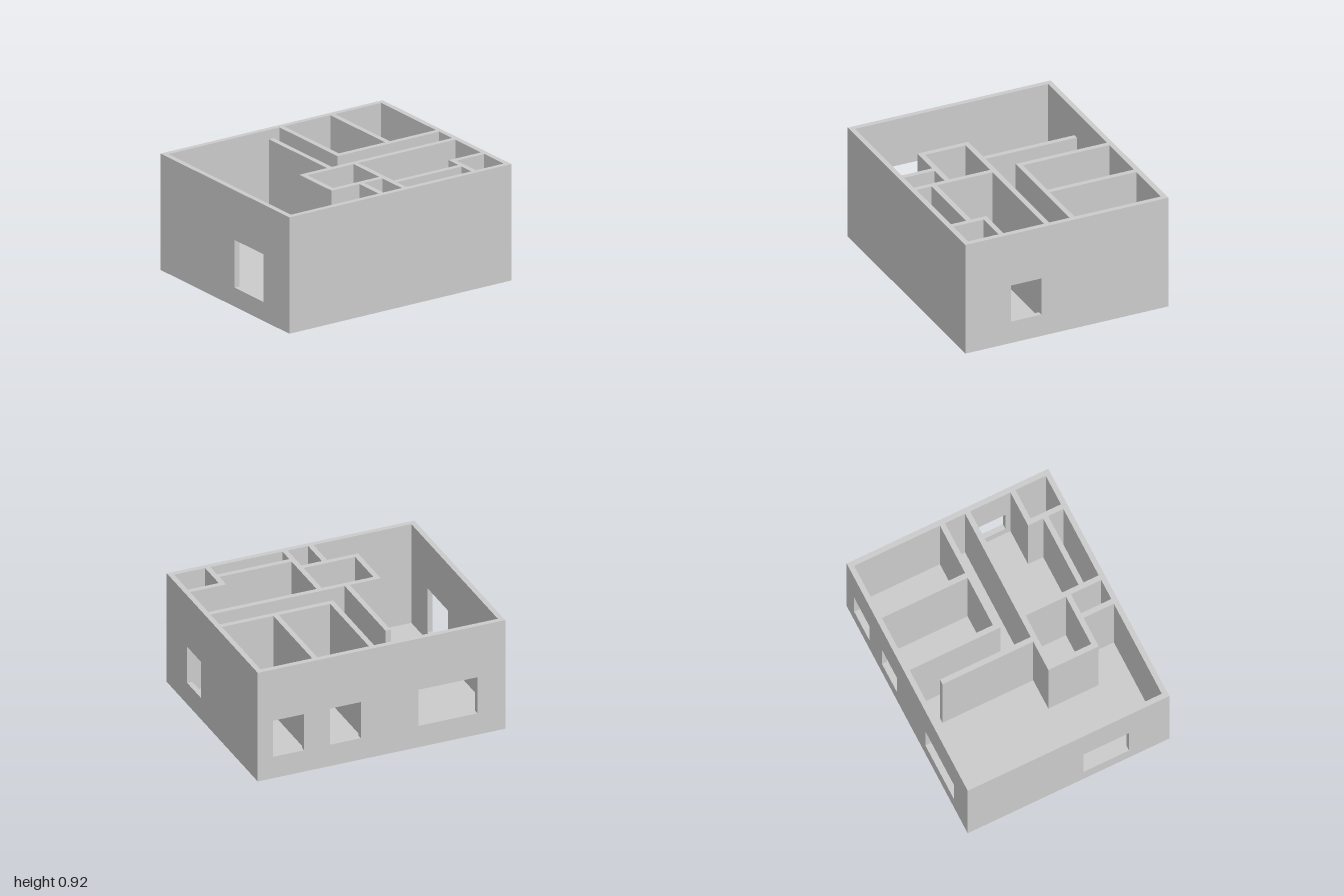
import * as THREE from 'three';

const U = 1 / 24; // plan module: one wall thickness
const HALF_W = 24, HALF_D = 20; // outer half sizes in modules
const HEIGHT = 22 * U;
const FLOOR = 2 * U;

const material = new THREE.MeshStandardMaterial({ color: 0xcccccc, flatShading: true });

function add(group, name, geometry) {
  const mesh = new THREE.Mesh(geometry, material);
  mesh.name = name;
  group.add(mesh);
  return mesh;
}

// Upright panel one module thick, with rectangular openings [u0, u1, y0, y1]
function panel(halfLength, openings) {
  const rect = (path, a, b, c, d) =>
    path.moveTo(a, c).lineTo(b, c).lineTo(b, d).lineTo(a, d).closePath();
  const shape = new THREE.Shape();
  rect(shape, -halfLength, halfLength, 0, HEIGHT);
  for (const o of openings) {
    const hole = new THREE.Path();
    rect(hole, ...o);
    shape.holes.push(hole);
  }
  return new THREE.ExtrudeGeometry(shape, { depth: U, bevelEnabled: false });
}

// Box over a plan rectangle given in modules
function block(x0, x1, z0, z1, y0, y1) {
  const g = new THREE.BoxGeometry((x1 - x0) * U, y1 - y0, (z1 - z0) * U);
  g.translate((x0 + x1) / 2 * U, (y0 + y1) / 2, (z0 + z1) / 2 * U);
  return g;
}

export function createModel() {
  const house = new THREE.Group();
  house.name = 'house';

  // Floor slab, inside the outer walls
  add(house, 'floor', block(1 - HALF_W, HALF_W - 1, 1 - HALF_D, HALF_D - 1, 0, FLOOR));

  // Front and back walls; the back has three windows
  const front = add(house, 'frontWall', panel(HALF_W * U, []));
  front.position.z = (HALF_D - 1) * U;
  const back = add(house, 'backWall', panel(HALF_W * U, [
    [-0.775, -0.3, 0.18, 0.485],
    [4 * U, 10 * U, 0.18, 0.485],
    [15 * U, 21 * U, 0.18, 0.485],
  ]));
  back.position.z = -HALF_D * U;

  // Side walls between them, one window each (panel runs towards -z)
  const sideHalf = (HALF_D - 1) * U;
  const left = add(house, 'leftWall', panel(sideHalf, [[-11 * U, -5 * U, 0.18, 0.485]]));
  left.position.x = (HALF_W - 1) * U;
  const right = add(house, 'rightWall', panel(sideHalf, [[-12 * U, -3 * U, 0.15, 0.525]]));
  right.position.x = -HALF_W * U;
  left.rotation.y = right.rotation.y = Math.PI / 2;

  // Inner partitions: x0, x1, z0, z1 in modules
  const partitions = new THREE.Group();
  partitions.name = 'partitions';
  house.add(partitions);
  const plan = {
    bedroomSideWall: [1, 2, -19, -1],
    bedroomDivider: [12, 13, -19, -2],
    bedroomCorridorWall: [2, 23, -2, -1],
    spurWall: [-4, -3, -15, 3],
    corridorWall: [-10, 23, 3, 4],
    bathroomEndWall: [-10, -9, 4, 12],
    bathroomFrontWall: [-10, 1, 12, 13],
    closetSideWall: [-4, -3, 13, 19],
    kitchenSideWall: [1, 2, 4, 19],
    kitchenFrontWall: [2, 16, 15, 16],
    cornerRoomBackWall: [16, 23, 12, 13],
    cornerRoomSideWall: [16, 17, 13, 19],
  };
  for (const [name, r] of Object.entries(plan)) add(partitions, name, block(...r, FLOOR, HEIGHT));

  return house;
}
